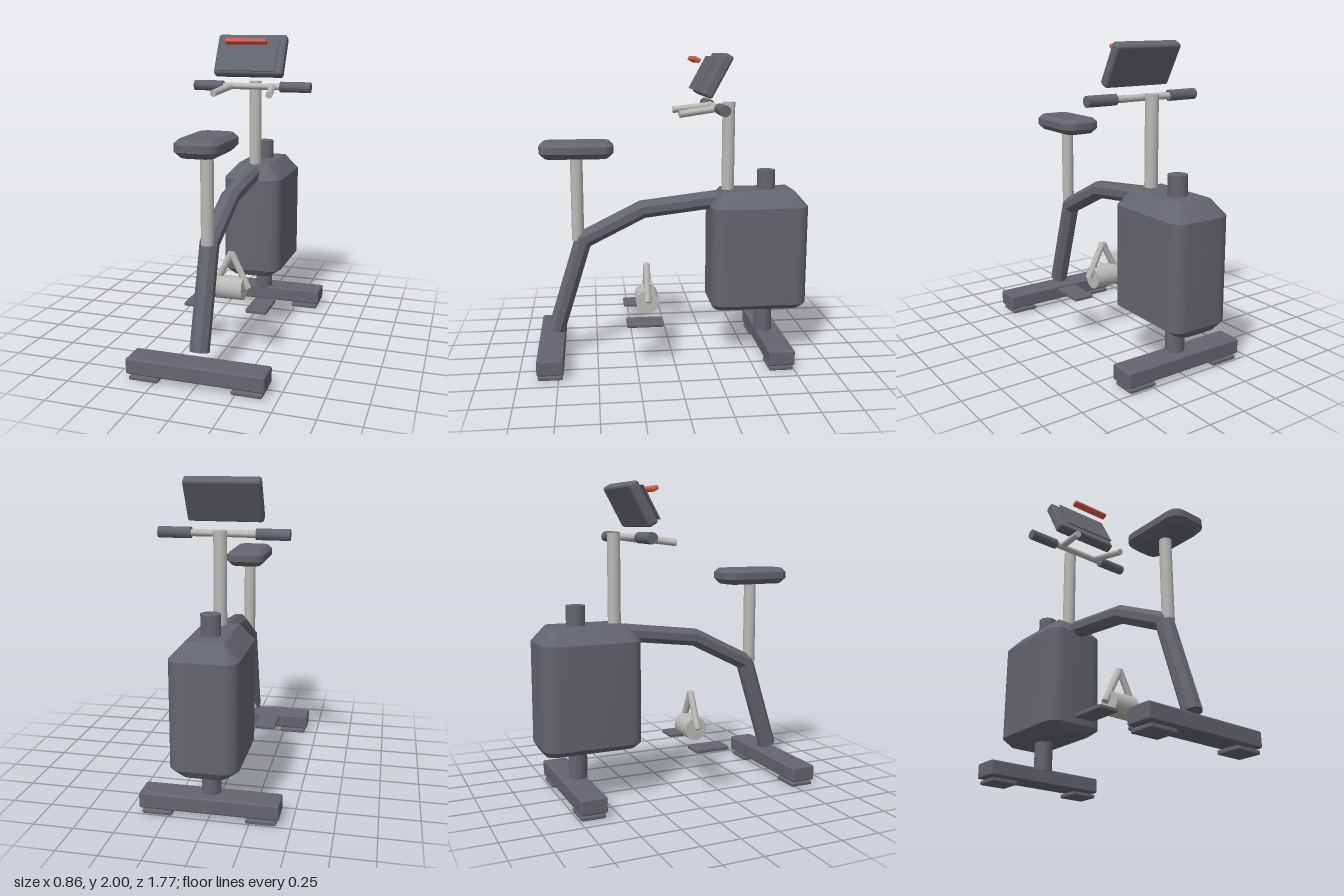
import * as THREE from 'three';
import { toCreasedNormals } from 'three/addons/utils/BufferGeometryUtils.js';
import { RoundedBoxGeometry } from 'three/addons/geometries/RoundedBoxGeometry.js';

const material = (name, color) => {
  const m = new THREE.MeshStandardMaterial({ color });
  m.name = name;
  return m;
};

// Closed skin over a stack of equal rings of Vector3, with flat end caps
function skin(rings) {
  const n = rings[0].length, pos = [], idx = [];
  rings.forEach(r => r.forEach(p => pos.push(p.x, p.y, p.z)));
  for (let i = 0; i < rings.length - 1; i++) {
    for (let j = 0; j < n; j++) {
      const a = i * n + j, b = i * n + (j + 1) % n;
      idx.push(a, a + n, b, b, a + n, b + n);
    }
  }
  const last = (rings.length - 1) * n;
  for (let j = 1; j < n - 1; j++) {
    idx.push(0, j, j + 1, last, last + j + 1, last + j);
  }
  const g = new THREE.BufferGeometry();
  g.setAttribute('position', new THREE.Float32BufferAttribute(pos, 3));
  g.setIndex(idx);
  return toCreasedNormals(g, 0.45);
}

// Rounded rectangle ring in plan
function roundedRing(y, hx, hz, r, steps = 6) {
  const ring = [];
  [[1, 1], [-1, 1], [-1, -1], [1, -1]].forEach(([sx, sz], q) => {
    for (let k = 0; k <= steps; k++) {
      const a = (q + k / steps) * Math.PI / 2;
      ring.push(new THREE.Vector3(sx * (hx - r) + r * Math.cos(a), y, sz * (hz - r) + r * Math.sin(a)));
    }
  });
  return ring;
}

// Mitred eight-sided tube along [z, y] points in the centre plane
function mitredTube(points, radius) {
  const p = points.map(([z, y]) => new THREE.Vector2(z, y));
  return skin(p.map((c, i) => {
    const before = c.clone().sub(p[Math.max(i - 1, 0)]).normalize();
    const after = p[Math.min(i + 1, p.length - 1)].clone().sub(c).normalize();
    const t = before.clone().add(after).normalize();
    const mitre = 1 / (i > 0 ? t.dot(before) : t.dot(after));
    return Array.from({ length: 8 }, (_, k) => {
      const a = (k + 0.5) * Math.PI / 4, s = radius * Math.sin(a) * mitre;
      return new THREE.Vector3(radius * Math.cos(a), c.y - t.x * s, c.x + t.y * s);
    });
  }));
}

export function createModel() {
  const model = new THREE.Group();
  model.name = 'exerciseBike';
  const dark = material('charcoal', 0x64666d);
  const steel = material('steel', 0xb9b9b6);
  const red = material('red', 0xd65a4b);

  const add = (name, geometry, mat, x = 0, y = 0, z = 0, parent = model) => {
    const mesh = new THREE.Mesh(geometry, mat);
    mesh.name = name;
    mesh.position.set(x, y, z);
    parent.add(mesh);
    return mesh;
  };
  const box = (w, h, d, r) => new RoundedBoxGeometry(w, h, d, 2, r);
  // Round bar between two points
  const rod = (name, from, to, r, mat, sides = 12) => {
    const a = new THREE.Vector3(...from), b = new THREE.Vector3(...to);
    const dir = b.clone().sub(a);
    const g = toCreasedNormals(new THREE.CylinderGeometry(r, r, dir.length(), sides), 0.6);
    const mesh = add(name, g, mat, ...a.clone().add(b).multiplyScalar(0.5).toArray());
    mesh.quaternion.setFromUnitVectors(new THREE.Vector3(0, 1, 0), dir.normalize());
    return mesh;
  };

  // Ground beams and their pads
  for (const [name, z] of [['front', 0.8], ['rear', -0.665]]) {
    add(name + 'Beam', box(0.856, 0.1, 0.168, 0.012), dark, 0, 0.09, z);
    for (const s of [-1, 1]) {
      add(name + 'FootPad', box(0.185, 0.026, 0.155, 0.008), dark, s * 0.318, 0.016, z);
    }
  }

  // Drive housing and the column through it
  add('driveHousing', skin([
    roundedRing(0.325, 0.14, 0.292, 0.06),
    roundedRing(0.37, 0.205, 0.318, 0.085),
    roundedRing(1.02, 0.205, 0.318, 0.085),
    roundedRing(1.12, 0.11, 0.228, 0.004),
  ]), dark, 0, 0, -0.568);
  rod('housingColumn', [0, 0.13, -0.632], [0, 1.245, -0.632], 0.061, dark);

  // Bent main frame
  add('mainFrame', mitredTube([[0.77, 0.19], [0.58, 0.8], [0.19, 0.995], [-0.31, 1.055]], 0.06), dark);

  // Saddle on its post
  rod('seatPost', [0, 0.8, 0.613], [0, 1.36, 0.613], 0.04, steel);
  add('seat', skin([
    roundedRing(1.343, 0.1, 0.2, 0.055),
    roundedRing(1.378, 0.135, 0.236, 0.08),
    roundedRing(1.422, 0.135, 0.236, 0.08),
    roundedRing(1.448, 0.105, 0.208, 0.055),
  ]), dark, 0, 0, 0.611);

  // Handlebar post, crossbar, grips and forward bars
  rod('handlebarPost', [0, 1.05, -0.375], [0, 1.69, -0.375], 0.042, steel);
  rod('crossbar', [-0.22, 1.66, -0.28], [0.22, 1.66, -0.28], 0.022, steel);
  for (const s of [-1, 1]) {
    rod('grip', [s * 0.2, 1.66, -0.28], [s * 0.406, 1.66, -0.28], 0.035, dark);
    rod('forwardBar', [s * 0.145, 1.66, -0.28], [s * 0.19, 1.628, -0.03], 0.023, steel);
  }

  // Tilted console with screen plate and red bar
  const consoleGroup = new THREE.Group();
  consoleGroup.name = 'console';
  consoleGroup.position.set(0, 1.862, -0.264);
  consoleGroup.rotation.x = -0.5;
  model.add(consoleGroup);
  add('consoleBody', box(0.474, 0.29, 0.07, 0.018), dark, 0, 0, 0, consoleGroup);
  add('screen', new THREE.BoxGeometry(0.39, 0.235, 0.008), dark, 0, -0.022, 0.064, consoleGroup);
  add('redBar', box(0.28, 0.028, 0.046, 0.008), red, 0, 0.029, 0.15, consoleGroup);

  // Crank hub, arms and pedals
  rod('crankHub', [-0.087, 0.385, 0.165], [0.087, 0.385, 0.165], 0.077, steel, 24);
  for (const s of [-1, 1]) {
    rod('crankArm', [0, 0.62, 0.165], [s * 0.115, 0.39, 0.165], 0.022, steel);
    add('pedal', box(0.138, 0.026, 0.235, 0.008), dark, s * 0.207, 0.29, 0.195);
  }
  return model;
}
